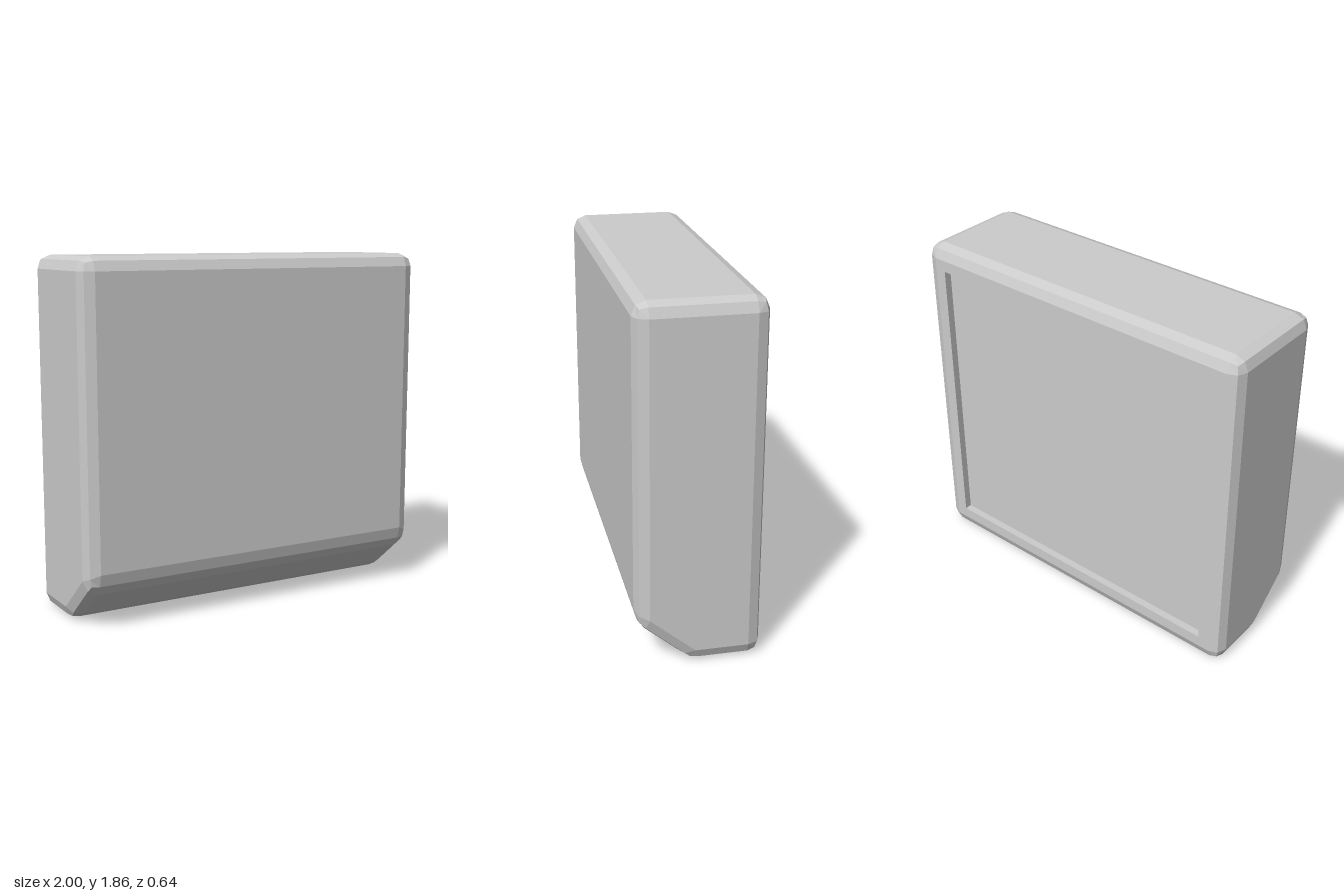
import * as THREE from 'three';

const T = 0.07;                          // bevel width
const E = T * (1 - Math.SQRT1_2);        // crease inset on a two-face edge
const C = T * (1 - 1 / Math.sqrt(3));    // crease inset on a three-face corner
const HALF = 1;

// Side profile as (z, y): bottom back, top back, top front, chamfer top, chamfer bottom
const profile = [[-0.32, 0], [-0.32, 1.86], [0.32, 1.86], [0.32, 0.233], [0.047, 0]]
  .map(([z, y]) => new THREE.Vector2(z, y));

// Collects flat polygons, skipping collapsed triangles
function surface() {
  const pts = [];
  const tri = (a, b, c) => {
    const area = b.clone().sub(a).cross(c.clone().sub(a)).length();
    if (area > 1e-7) pts.push(a, b, c);
  };
  return {
    quad(a, b, c, d) { tri(a, b, c); tri(a, c, d); },
    fan(list) { for (let i = 1; i < list.length - 1; i++) tri(list[0], list[i], list[i + 1]); },
    mesh(name, material) {
      const geometry = new THREE.BufferGeometry().setFromPoints(pts);
      geometry.computeVertexNormals();
      const mesh = new THREE.Mesh(geometry, material);
      mesh.name = name;
      return mesh;
    },
  };
}

// Three points per profile corner; level 0 = end face, 1 = bevel crease, 2 = full section
function ring(side, level) {
  const out = [];
  profile.forEach((p, i) => {
    const n = profile.length;
    const u = profile[(i + n - 1) % n].clone().sub(p).normalize();
    const v = profile[(i + 1) % n].clone().sub(p).normalize();
    const nu = new THREE.Vector2(-u.y, u.x);   // inward normals of the two edges
    const nv = new THREE.Vector2(v.y, -v.x);
    const miter = nu.clone().add(nv).multiplyScalar(T / (1 + nu.dot(nv)));
    const add = (inset, ...steps) => {
      const q = p.clone();
      steps.forEach(([dir, d]) => q.addScaledVector(dir, d));
      out.push(new THREE.Vector3(side * (HALF - inset), q.y, q.x));
    };
    if (level === 0) {
      for (let k = 0; k < 3; k++) add(0, [miter, 1]);
    } else if (level === 1) {
      add(E, [u, (T + miter.dot(u)) / 2], [nu, E]);
      add(C, [u, C], [v, C]);
      add(E, [v, (T + miter.dot(v)) / 2], [nv, E]);
    } else {
      add(T, [u, T]);
      add(T, [u, E], [v, E]);
      add(T, [v, T]);
    }
  });
  return out;
}

// Rectangle facing the back
function backLoop(inset, z) {
  const x = HALF - inset, y0 = inset, y1 = 1.86 - inset;
  return [[-x, y0], [-x, y1], [x, y1], [x, y0]].map(([a, b]) => new THREE.Vector3(a, b, z));
}

function strip(target, a, b, skip = -1) {
  a.forEach((_, i) => {
    const j = (i + 1) % a.length;
    if (i !== skip) target.quad(a[i], a[j], b[j], b[i]);
  });
}

export function createModel() {
  const group = new THREE.Group();
  group.name = 'bevelledPanel';
  const material = new THREE.MeshStandardMaterial({ color: 0xcccccc, flatShading: true });

  // Bevelled casing, lofted from end to end and left open at the back
  const body = surface();
  const rings = [ring(-1, 0), ring(-1, 1), ring(-1, 2), ring(1, 2), ring(1, 1), ring(1, 0)];
  for (let r = 0; r < 5; r++) strip(body, rings[r], rings[r + 1], r === 2 ? 2 : -1);
  const endFace = (loop) => loop.filter((_, i) => i % 3 === 0);
  body.fan(endFace(rings[0]).reverse());
  body.fan(endFace(rings[5]));

  // Flat rim around the back recess
  const recessEdge = backLoop(0.133, -0.32);
  const recessFloor = backLoop(0.133, -0.28);
  strip(body, backLoop(T, -0.32), recessEdge);
  group.add(body.mesh('casing', material));

  // Recess walls and floor
  const recess = surface();
  strip(recess, recessEdge, recessFloor);
  recess.fan(recessFloor);
  group.add(recess.mesh('backRecess', material));

  return group;
}
